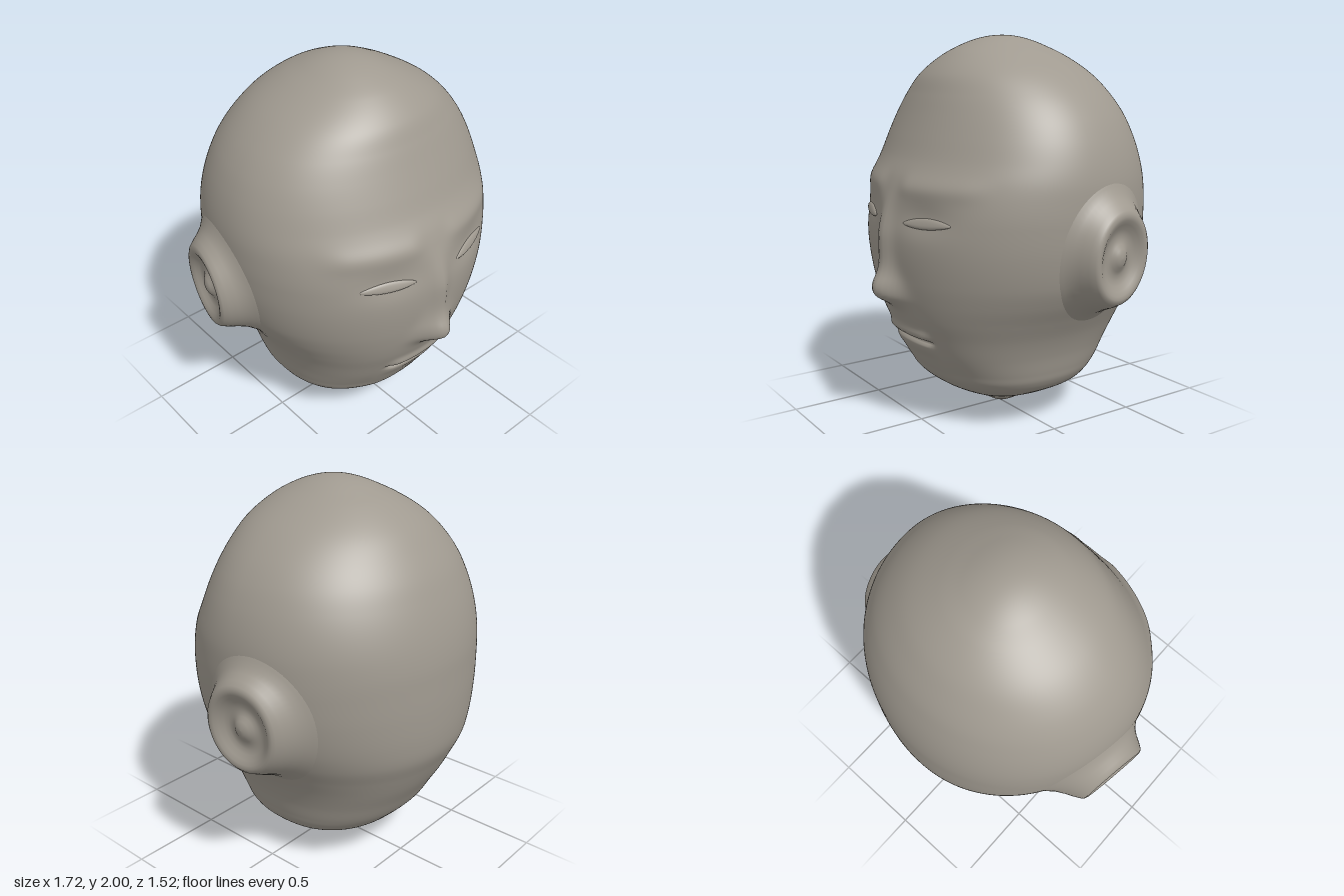
import * as THREE from 'three';

// Cross-sections of the head: height, half width, front z, back z
const SECTIONS = [
  [0, 0, -0.02, -0.02], [0.05, 0.12, 0.1, -0.13], [0.1, 0.23, 0.2, -0.24], [0.15, 0.34, 0.3, -0.34],
  [0.2, 0.425, 0.38, -0.42], [0.25, 0.465, 0.43, -0.475], [0.3, 0.482, 0.46, -0.52], [0.4, 0.51, 0.525, -0.58],
  [0.5, 0.55, 0.575, -0.64], [0.6, 0.605, 0.62, -0.69], [0.7, 0.665, 0.65, -0.735], [0.8, 0.71, 0.67, -0.752],
  [0.95, 0.745, 0.685, -0.758], [1.1, 0.76, 0.682, -0.755], [1.2, 0.762, 0.665, -0.75], [1.3, 0.757, 0.63, -0.735],
  [1.4, 0.738, 0.578, -0.71], [1.5, 0.705, 0.535, -0.675], [1.6, 0.655, 0.492, -0.63], [1.7, 0.58, 0.448, -0.565],
  [1.8, 0.47, 0.395, -0.48], [1.9, 0.305, 0.29, -0.345], [1.95, 0.2, 0.2, -0.24], [2, 0, -0.02, -0.02],
];
const MID_Z = -0.02;
const angleOf = (y) => Math.acos(THREE.MathUtils.clamp(1 - y, -1, 1));
const KEYS = SECTIONS.map(([y, ...v]) => [angleOf(y), ...v]);

// Smooth interpolation through the sections, giving [width, front, back]
function section(y) {
  const t = angleOf(y);
  let i = 0;
  while (i < KEYS.length - 2 && t > KEYS[i + 1][0]) i++;
  const a = KEYS[i], b = KEYS[i + 1], h = b[0] - a[0], s = (t - a[0]) / h;
  const slope = (k, c) => {
    const p = KEYS[Math.max(k - 1, 0)], q = KEYS[Math.min(k + 1, KEYS.length - 1)];
    return (q[c] - p[c]) / (q[0] - p[0]);
  };
  return [1, 2, 3].map((c) =>
    a[c] * (1 + 2 * s) * (1 - s) ** 2 + b[c] * s * s * (3 - 2 * s) +
    h * (slope(i, c) * s * (1 - s) ** 2 - slope(i + 1, c) * s * s * (1 - s)));
}

const power = (y) => 2.05 + 0.25 * (1 - THREE.MathUtils.smoothstep(y, 0.3, 0.8));
const bell = (d, width) => Math.exp(-((d / width) ** 2));
const step = THREE.MathUtils.smoothstep;

// Relief of the face, added to z on the front
function relief(x, y) {
  const ax = Math.abs(x);
  const noseRise = 0.035 * step(y, 0.66, 0.8) * (1 - step(y, 1.0, 1.25)) +
    0.085 * (y < 0.72 ? bell(y - 0.72, 0.06) : bell(y - 0.72, 0.1));
  const noseWidth = 0.055 + 0.04 * (1 - step(y, 0.68, 0.95));
  let d = noseRise * bell(x, noseWidth);
  d += 0.012 * bell(y - 1.27, 0.05) * step(ax, 0.04, 0.15) * (1 - step(ax, 0.45, 0.6)); // brows
  d -= 0.022 * bell(y - 1.13, 0.08) * bell(ax - 0.26, 0.17); // eye sockets
  const lips = 1 - step(ax, 0.15, 0.22);
  d += lips * (0.02 * bell(y - 0.505, 0.03) - 0.03 * bell(y - 0.472, 0.012) + 0.01 * bell(y - 0.43, 0.04));
  d += 0.012 * bell(y - 0.3, 0.1) * (1 - step(ax, 0.15, 0.27)); // chin
  return d;
}

function faceZ(x, y) {
  const [w, front] = section(y), n = power(y);
  return MID_Z + (front - MID_Z) * Math.max(0, 1 - Math.abs(x / w) ** n) ** (1 / n) + relief(x, y);
}

function sideX(y, z) {
  const [w, front, back] = section(y), n = power(y);
  const u = z > MID_Z ? (z - MID_Z) / (front - MID_Z) : (MID_Z - z) / (MID_Z - back);
  return w * Math.max(0, 1 - u ** n) ** (1 / n);
}

// Closed loops of points joined into a surface
function loft(rows, cols, point) {
  const positions = [], index = [];
  for (let i = 0; i <= rows; i++) {
    for (let j = 0; j < cols; j++) positions.push(...point(i, (j / cols) * Math.PI * 2));
  }
  for (let i = 0; i < rows; i++) {
    for (let j = 0; j < cols; j++) {
      const a = i * cols + j, b = i * cols + ((j + 1) % cols), c = a + cols, d = b + cols;
      index.push(a, b, d, a, d, c);
    }
  }
  const geometry = new THREE.BufferGeometry();
  geometry.setAttribute('position', new THREE.Float32BufferAttribute(positions, 3));
  geometry.setIndex(index);
  geometry.computeVertexNormals();
  return geometry;
}

function headGeometry() {
  const rows = 260;
  return loft(rows, 200, (i, angle) => {
    const y = 1 - Math.cos((i / rows) * Math.PI);
    const [w, front, back] = section(y), e = 2 / power(y);
    const s = Math.sin(angle), c = Math.cos(angle);
    const x = w * Math.sign(s) * Math.abs(s) ** e;
    const reach = c > 0 ? front - MID_Z : MID_Z - back;
    let z = MID_Z + reach * Math.sign(c) * Math.abs(c) ** e;
    if (c > 0) z += relief(x, y) * step(c, 0, 0.4);
    return [x, y, z];
  });
}

// Ear rings from the skin to the middle: radius, share of ear shape, depth from the rim plane
const EAR = [
  [1.75, 0, 0], [1.6, 0.04, 0], [1.45, 0.16, 0], [1.32, 0.38, 0], [1.2, 0.68, 0], [1.1, 0.9, 0], [1.03, 1, -0.003],
  [0.96, 1, 0], [0.88, 1, -0.004], [0.78, 1, -0.016], [0.66, 1, -0.032], [0.54, 1, -0.04], [0.42, 1, -0.04],
  [0.32, 1, -0.032], [0.22, 1, -0.018], [0.12, 1, -0.01], [0, 1, -0.008],
];

function earGeometry(side) {
  return loft(EAR.length - 1, 64, (i, angle) => {
    const [r, share, depth] = EAR[i];
    const turn = -side * angle;
    const z = -0.145 + 0.178 * r * Math.cos(turn), y = 0.94 + 0.212 * r * Math.sin(turn);
    const rim = 0.832 + 0.16 * (z + 0.145) + 0.06 * (y - 0.94) + depth;
    const skin = sideX(y, z) - (i === 0 ? 0.006 : 0);
    return [side * THREE.MathUtils.lerp(skin, rim, share), y, z];
  });
}

// Almond-shaped eyelid lying on the face
function eyeGeometry(side) {
  const geometry = new THREE.SphereGeometry(1, 40, 20);
  const p = geometry.attributes.position;
  for (let i = 0; i < p.count; i++) {
    const u = p.getX(i);
    const x = side * 0.28 + u * 0.14;
    const y = 1.1 + 0.006 * side * u + p.getY(i) * (p.getY(i) > 0 ? 0.032 : 0.022) * (1 - 0.3 * u * u);
    p.setXYZ(i, x, y, faceZ(x, y) + p.getZ(i) * 0.014);
  }
  geometry.computeVertexNormals();
  return geometry;
}

export function createModel() {
  const group = new THREE.Group();
  group.name = 'head';
  const skin = new THREE.MeshStandardMaterial({ color: 0xa09a90 });
  skin.name = 'warm grey clay';
  const add = (name, geometry) => {
    const mesh = new THREE.Mesh(geometry, skin);
    mesh.name = name;
    group.add(mesh);
  };

  add('skull and face', headGeometry());
  for (const [name, side] of [['left', 1], ['right', -1]]) {
    add(`${name} ear`, earGeometry(side));
    add(`${name} eye`, eyeGeometry(side));
  }
  return group;
}
